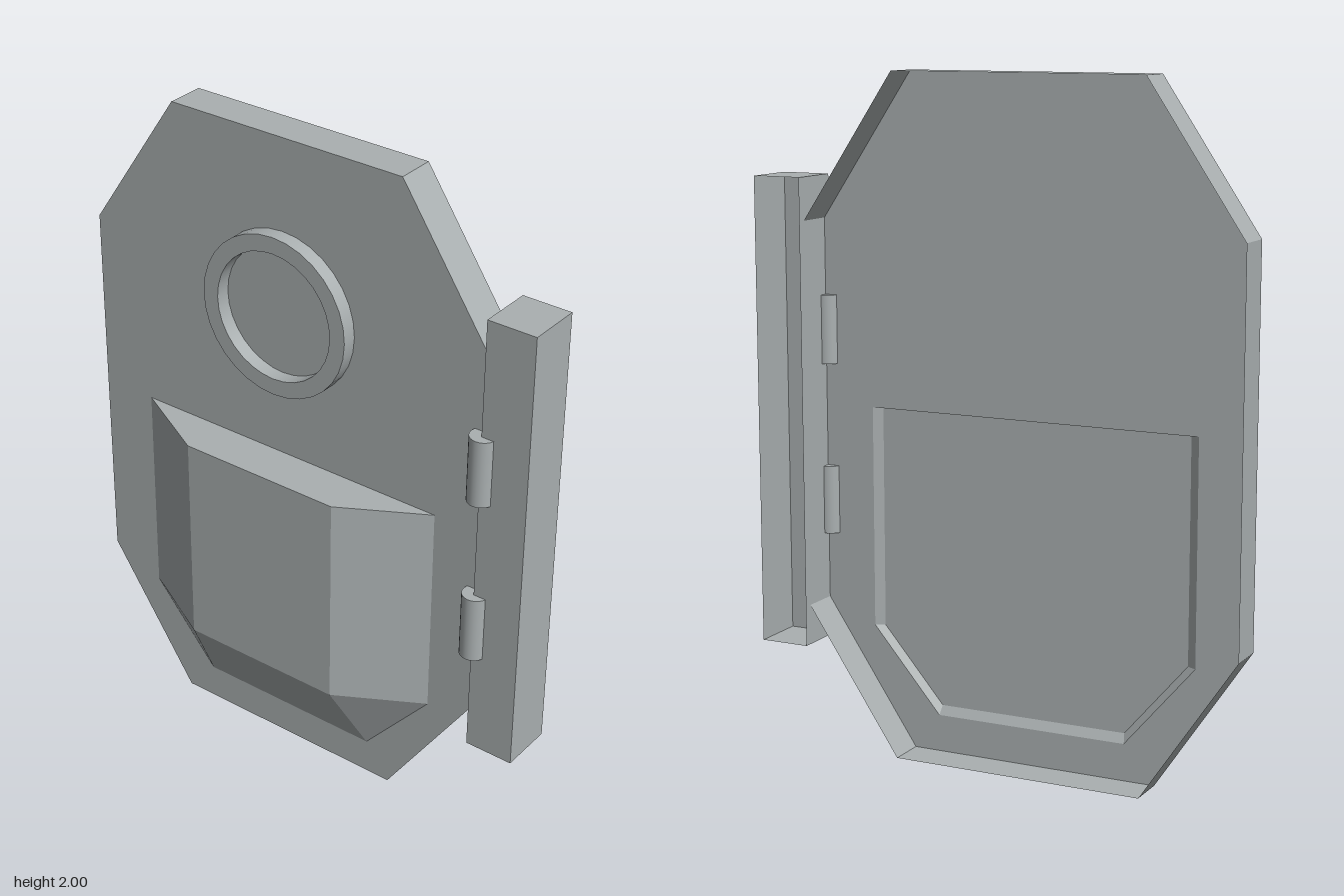
import * as THREE from 'three';

const steel = new THREE.MeshStandardMaterial({ color: 0xaab0b1, side: THREE.DoubleSide });
steel.name = 'grey steel';

// Loft flat-shaded quads between two rows of points; collapsed quads become triangles
function strip(a, b, closed = false) {
  const pos = [];
  const n = closed ? a.length : a.length - 1;
  for (let i = 0; i < n; i++) {
    const j = (i + 1) % a.length;
    pos.push(...a[i], ...b[i], ...b[j], ...a[i], ...b[j], ...a[j]);
  }
  const g = new THREE.BufferGeometry();
  g.setAttribute('position', new THREE.Float32BufferAttribute(pos, 3));
  g.computeVertexNormals();
  return g;
}

const toShape = (pts) => new THREE.Shape(pts.map(([x, y]) => new THREE.Vector2(x, y)));
const atZ = (pts, z) => pts.map(([x, y]) => [x, y, z]);

export function createModel() {
  const model = new THREE.Group();
  model.name = 'hatchDoor';
  const add = (name, geometry, x = 0, y = 0, z = 0, parent = model) => {
    const mesh = new THREE.Mesh(geometry, steel);
    mesh.name = name;
    mesh.position.set(x, y, z);
    parent.add(mesh);
    return mesh;
  };

  // Octagonal door: front plate with pocket opening, and a rim open to the back
  const octagon = [
    [-0.46, 0], [0.31, 0], [0.6, 0.43], [0.6, 1.57],
    [0.31, 2], [-0.46, 2], [-0.75, 1.57], [-0.75, 0.43],
  ];
  const opening = [
    [-0.365, 0.11], [0.23, 0.11], [0.445, 0.36], [0.445, 1.02], [-0.58, 1.02], [-0.58, 0.36],
  ];
  const plate = toShape(octagon);
  plate.holes.push(toShape(opening));
  add('doorPlate', new THREE.ShapeGeometry(plate));
  add('doorRim', strip(atZ(octagon, -0.115), atZ(octagon, 0), true));

  // Bulging pocket: bevelled front, flat lid, sloping underside
  const D = 0.14;
  const section = (y) => [[-0.58, y, 0], [-0.32, y, D], [0.195, y, D], [0.445, y, 0]];
  const top = section(1.02), low = section(0.36);
  const foot = [[-0.365, 0.11, 0], [-0.365, 0.11, 0], [0.23, 0.11, 0], [0.23, 0.11, 0]];
  const pocket = new THREE.Group();
  pocket.name = 'pocket';
  model.add(pocket);
  add('pocketFront', strip(top, low), 0, 0, 0, pocket);
  add('pocketUnderside', strip(low, foot), 0, 0, 0, pocket);
  add('pocketLid', strip([top[0], top[3]], [top[1], top[2]]), 0, 0, 0, pocket);

  // Slightly recessed panel closing the pocket from behind
  const panel = [
    [-0.36, 0.137], [0.226, 0.137], [0.418, 0.36], [0.418, 1.02], [-0.552, 1.02], [-0.552, 0.36],
  ];
  add('pocketBackPanel', new THREE.ShapeGeometry(toShape(panel)), 0, 0, 0.015, pocket);

  // Porthole ring
  const R = 0.245, r = 0.195, h = 0.045;
  const porthole = new THREE.Group();
  porthole.name = 'porthole';
  porthole.position.set(-0.08, 1.48, 0);
  model.add(porthole);
  for (const [name, radius] of [['ringOuterWall', R], ['ringInnerWall', r]]) {
    const wall = new THREE.CylinderGeometry(radius, radius, h, 32, 1, true).rotateX(Math.PI / 2);
    add(name, wall, 0, 0, h / 2, porthole);
  }
  add('ringFace', new THREE.RingGeometry(r, R, 32), 0, 0, h, porthole);

  // Hinge post, a channel open at the back (the -z side is the last six indices)
  const post = new THREE.BoxGeometry(0.15, 1.385, 0.165);
  post.setIndex(Array.from(post.index.array).slice(0, 30));
  post.clearGroups();
  add('hingePost', post, 0.675, 1.003, -0.0575);

  // Hinge knuckles
  for (const y of [0.732, 1.243]) {
    add('hingeKnuckle', new THREE.CylinderGeometry(0.04, 0.04, 0.204, 24), 0.6, y, 0.014);
  }

  return model;
}
